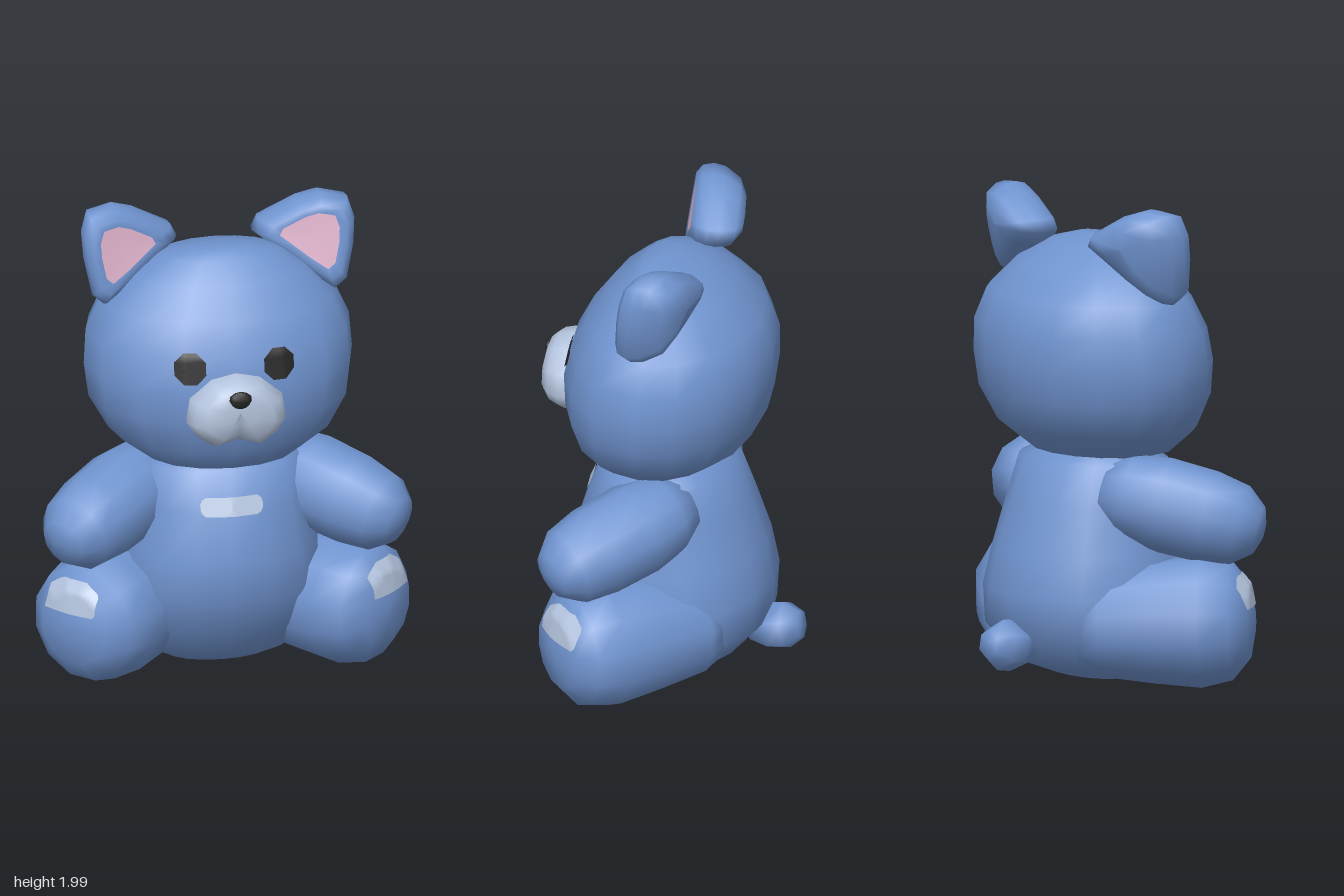
import * as THREE from 'three';

const paint = (name, color) => {
  const m = new THREE.MeshStandardMaterial({ color });
  m.name = name;
  return m;
};

// Joins rings of points (equal counts, counter-clockwise seen from the last ring) into a smooth skin
function skin(rings) {
  const n = rings[0].length, index = [];
  for (let i = 0; i < rings.length - 1; i++) {
    for (let j = 0; j < n; j++) {
      const a = i * n + j, b = i * n + (j + 1) % n;
      index.push(a, b, b + n, a, b + n, a + n);
    }
  }
  const g = new THREE.BufferGeometry().setFromPoints(rings.flat());
  g.setIndex(index);
  g.computeVertexNormals();
  return g;
}

// Upright form from levels of [y, half width, front z, back z], a little fuller at the front
function stack(levels, sides) {
  const ring = ([y, w, front, back]) => Array.from({ length: sides }, (_, j) => {
    const a = (j / sides) * Math.PI * 2, c = Math.cos(a);
    const k = c > 0 ? c ** 0.88 : c;
    return new THREE.Vector3(w * Math.sin(a), y, (front + back) / 2 + (front - back) / 2 * k);
  });
  const flat = (l) => [l[0], 0, (l[2] + l[3]) / 2, (l[2] + l[3]) / 2];
  return skin([flat(levels[0]), ...levels, flat(levels.at(-1))].map(ring));
}

// Form facing +z: an outline scaled about a centre for each [scale, z], with z adjusted by a rule
function puff(outline, [cx, cy], layers, bend) {
  return skin(layers.map(([s, z]) => outline.map(([px, py]) => {
    const x = cx + (px - cx) * s, y = cy + (py - cy) * s;
    return new THREE.Vector3(x, y, z + bend(x, y, s));
  })));
}

// Thin patch laid onto a mesh, looking along -dir
function patch(target, corners, centre, dir) {
  target.updateMatrixWorld(true);
  const d = new THREE.Vector3(...dir).normalize();
  const up = new THREE.Vector3(0, 1, 0);
  const right = up.clone().cross(d);
  const shape = new THREE.Shape(corners.map(([x, y]) => new THREE.Vector2(x, y)));
  shape.closePath();
  const outline = shape.getSpacedPoints(32).slice(0, 32);
  const ray = new THREE.Raycaster();
  const place = (p, s) => {
    const q = new THREE.Vector3(...centre).addScaledVector(right, p.x * s).addScaledVector(up, p.y * s);
    ray.set(q.clone().addScaledVector(d, 2), d.clone().negate());
    const hit = ray.intersectObject(target)[0];
    return (hit ? hit.point : q).clone().addScaledVector(d, 0.007);
  };
  return skin([1, 0.8, 0.6, 0.4, 0.2, 0].map((s) => outline.map((p) => place(p, s))));
}

export function createModel() {
  const root = new THREE.Group();
  const blue = paint('blue plush', 0x7094d0);
  const pale = paint('pale plush', 0xb4c4de);
  const pink = paint('ear pink', 0xe0b4cd);
  const black = paint('black', 0x262626);

  const add = (name, geometry, material) => {
    const m = new THREE.Mesh(geometry, material);
    m.name = name;
    root.add(m);
    return m;
  };

  // Stubby limb turned from a profile of [radius, distance along]
  const limb = (name, profile, start, end, sides = 12) => {
    const g = new THREE.LatheGeometry(profile.map(([r, t]) => new THREE.Vector2(r, t)), sides);
    const m = add(name, g, blue);
    const a = new THREE.Vector3(...start);
    const dir = new THREE.Vector3(...end).sub(a).normalize();
    m.position.copy(a);
    m.quaternion.setFromUnitVectors(new THREE.Vector3(0, 1, 0), dir);
    return m;
  };

  const body = add('body', stack([
    [0.015, 0.2, 0.1, -0.12], [0.08, 0.33, 0.22, -0.3], [0.22, 0.43, 0.33, -0.42],
    [0.38, 0.45, 0.395, -0.43], [0.55, 0.41, 0.41, -0.4], [0.75, 0.37, 0.35, -0.33],
    [0.92, 0.34, 0.28, -0.26], [0.97, 0.2, 0.16, -0.16],
  ], 16), blue);

  const head = add('head', stack([
    [0.92, 0.2, 0.24, -0.14], [0.95, 0.32, 0.32, -0.21], [1.05, 0.46, 0.39, -0.33],
    [1.19, 0.54, 0.43, -0.4], [1.33, 0.558, 0.435, -0.42], [1.47, 0.548, 0.405, -0.42],
    [1.6, 0.49, 0.34, -0.37], [1.72, 0.37, 0.25, -0.25], [1.8, 0.24, 0.16, -0.12],
    [1.83, 0.13, 0.12, 0],
  ], 16), blue);

  // Chest badge
  add('chestPatch', patch(body, [
    [-0.11, -0.037], [0.11, -0.037], [0.13, -0.02], [0.13, 0.02],
    [0.11, 0.037], [-0.11, 0.037], [-0.13, 0.02], [-0.13, -0.02],
  ], [0, 0.785, 0], [0, 0, 1]), pale);

  // Muzzle with a soft cleft below the nose
  const muzzle = [
    [0, 1.13], [0.1, 1.105], [0.17, 1.155], [0.205, 1.21], [0.19, 1.31], [0.1, 1.385],
    [0, 1.41], [-0.1, 1.385], [-0.19, 1.31], [-0.205, 1.21], [-0.17, 1.155], [-0.1, 1.105],
  ];
  add('muzzle', puff(muzzle, [0, 1.28], [[1, 0.36], [1, 0.44], [0.9, 0.49], [0.7, 0.523], [0.35, 0.535], [0, 0.535]],
    (x, y, s) => (Math.abs(x) < 0.01 && y < 1.27 && s < 0.95 ? -0.014 : 0)), pale);

  const nose = add('nose', new THREE.SphereGeometry(1, 8, 6), black);
  nose.scale.set(0.05, 0.038, 0.022);
  nose.position.set(0, 1.333, 0.526);

  limb('tail', [[0, -0.03], [0.07, -0.02], [0.105, 0.06], [0.105, 0.13], [0.06, 0.195], [0, 0.2]],
    [0, 0.16, -0.355], [0, 0.185, -0.5], 6);

  const ear = [
    [0.155, 1.83], [0.25, 1.76], [0.37, 1.67], [0.48, 1.6], [0.53, 1.645], [0.56, 1.79],
    [0.567, 1.9], [0.54, 1.985], [0.43, 2], [0.34, 1.97], [0.18, 1.88],
  ];
  const eye = Array.from({ length: 8 }, (_, i) => {
    const a = (i + 0.5) * Math.PI / 4;
    return [0.069 * Math.cos(a), 0.069 * Math.sin(a)];
  });
  const pad = [[-0.125, -0.065], [0.125, -0.065], [0.125, 0.025], [0.06, 0.065], [-0.06, 0.065], [-0.125, 0.025]];

  for (const [side, s] of [['left', 1], ['right', -1]]) {
    // Plump ear and its pink lining
    const outline = ear.map(([x, y]) => [s * x, y]);
    if (s < 0) outline.reverse();
    const lean = (x, y) => -0.03 + 0.27 * (s * x - 0.4) - 0.16 * (y - 1.8);
    add(side + 'Ear', puff(outline, [s * 0.4, 1.84], [
      [0, -0.145], [0.45, -0.138], [0.78, -0.105], [0.97, -0.035], [1, 0.015], [0.93, 0.06], [0.76, 0.085], [0.58, 0.082],
    ], lean), blue);
    add(side + 'EarLining', puff(outline, [s * 0.4, 1.84], [[0.58, 0.082], [0.3, 0.08], [0, 0.08]], lean), pink);

    add(side + 'Eye', patch(head, eye, [s * 0.185, 1.43, 0], [0, 0, 1]), black);

    limb(side + 'Arm', [
      [0, -0.07], [0.12, -0.04], [0.17, 0.05], [0.195, 0.2], [0.19, 0.4],
      [0.165, 0.54], [0.1, 0.62], [0.04, 0.64], [0, 0.642],
    ], [s * 0.24, 0.805, -0.08], [s * 0.58, 0.7, 0.21]);

    // Leg splayed outwards, with a pad on the sole
    const leg = limb(side + 'Leg', [
      [0, -0.08], [0.18, -0.06], [0.225, 0.03], [0.255, 0.25], [0.275, 0.44],
      [0.245, 0.57], [0.16, 0.64], [0.05, 0.662], [0, 0.664],
    ], [s * 0.2, 0.265, -0.15], [s * 0.515, 0.277, 0.165]);
    add(side + 'FootPad', patch(leg, pad, [s * 0.675, 0.415, 0.3], [s, 0, 1]), pale);
  }
  return root;
}
